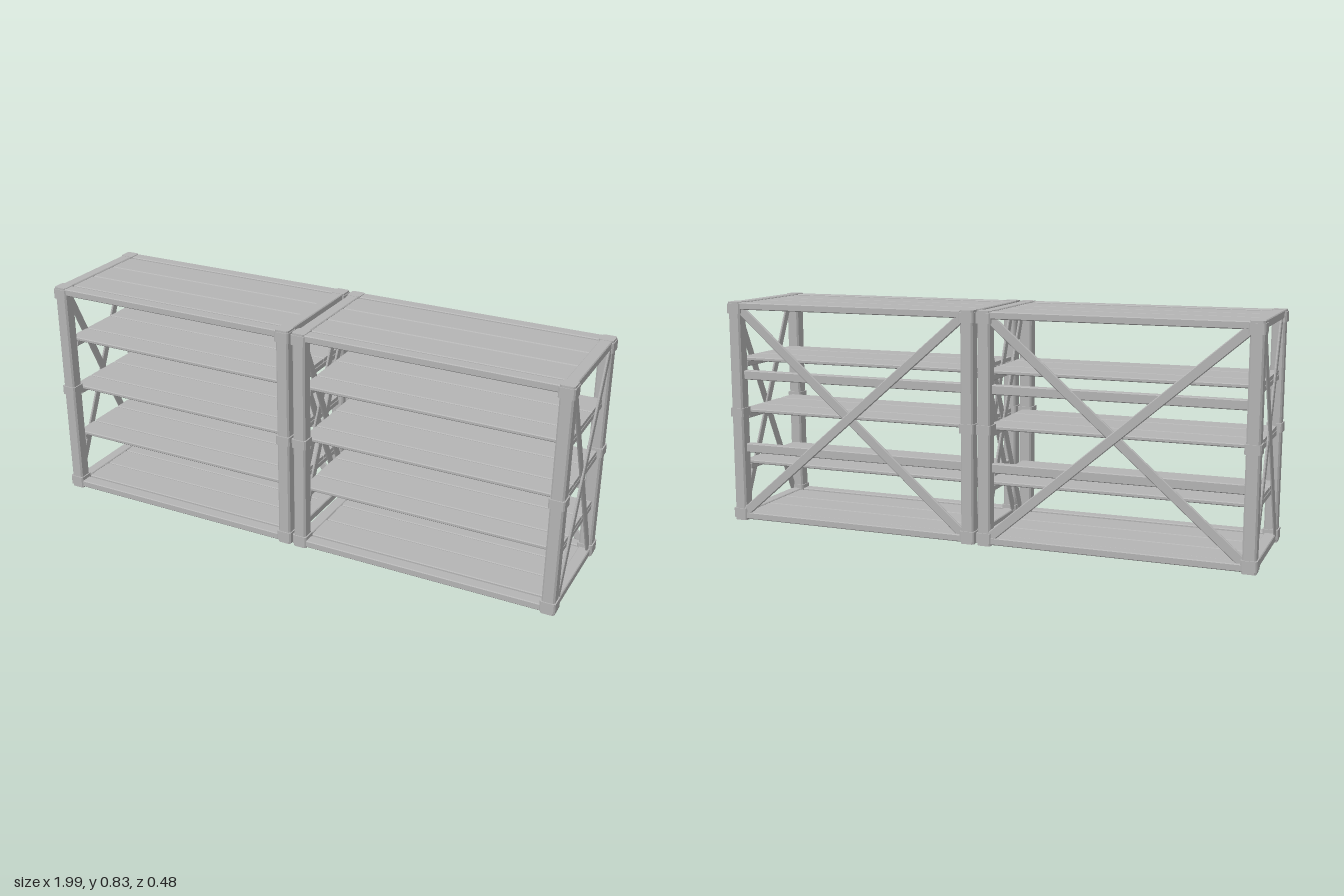
import * as THREE from 'three';

const steel = new THREE.MeshStandardMaterial({ color: 0xb4b4b4 });
steel.name = 'grey steel';

// Box with chamfered edges running along one axis
function bar(name, size, pos, axis = 'x', bevel = 0.003) {
  const [sx, sy, sz] = size;
  const [w, h, len] = axis === 'x' ? [sz, sy, sx] : axis === 'y' ? [sx, sz, sy] : [sx, sy, sz];
  const a = w / 2, b = h / 2, c = Math.min(bevel, a * 0.8, b * 0.8);
  const section = new THREE.Shape([
    [-a + c, -b], [a - c, -b], [a, -b + c], [a, b - c],
    [a - c, b], [-a + c, b], [-a, b - c], [-a, -b + c],
  ].map(([x, y]) => new THREE.Vector2(x, y)));
  const geo = new THREE.ExtrudeGeometry(section, { depth: len, bevelEnabled: false, steps: 1 });
  geo.translate(0, 0, -len / 2);
  if (axis === 'x') geo.rotateY(Math.PI / 2);
  if (axis === 'y') geo.rotateX(-Math.PI / 2);
  const mesh = new THREE.Mesh(geo, steel);
  mesh.name = name;
  mesh.position.set(...pos);
  return mesh;
}

// One shelf unit centred on x = 0
function createUnit() {
  const unit = new THREE.Group();
  const postX = 0.468, postZ = 0.211;

  // Corner posts with sleeves and end caps
  for (const sx of [-1, 1]) for (const sz of [-1, 1]) {
    const x = sx * postX, z = sz * postZ;
    unit.add(bar('post', [0.047, 0.822, 0.049], [x, 0.416, z], 'y', 0.006));
    for (const [y, h] of [[0.029, 0.036], [0.418, 0.033], [0.809, 0.036]])
      unit.add(bar('sleeve', [0.056, h, 0.058], [x, y, z], 'y', 0.005));
    for (const y of [0.006, 0.829])
      unit.add(bar('endCap', [0.05, 0.01, 0.052], [x, y, z], 'y', 0.006));
  }

  // Perimeter rails, top and bottom
  for (const y of [0.02, 0.819]) {
    for (const s of [-1, 1]) {
      unit.add(bar('longRail', [0.89, 0.026, 0.044], [0, y, s * 0.214]));
      unit.add(bar('endRail', [0.042, 0.028, 0.374], [s * postX, y, 0], 'z'));
    }
    // Boards on cross slats
    for (const z of [-0.1275, -0.0045, 0.1185])
      unit.add(bar('deckBoard', [0.895, 0.014, 0.119], [0, y + 0.003, z]));
    for (const x of [-0.3, 0, 0.3])
      unit.add(bar('deckSlat', [0.03, 0.01, 0.385], [x, y - 0.009, 0], 'z'));
  }

  // Middle shelves on end supports
  for (const y of [0.22, 0.418, 0.616]) {
    for (const [z0, z1] of [[-0.185, -0.067], [-0.062, 0.085], [0.09, 0.185]])
      unit.add(bar('shelfBoard', [0.952, 0.014, z1 - z0], [0, y, (z0 + z1) / 2]));
    for (const s of [-1, 1])
      unit.add(bar('shelfSupport', [0.03, 0.022, 0.37], [s * 0.462, y - 0.018, 0], 'z'));
  }

  // Horizontal back rails
  for (const y of [0.28, 0.559])
    unit.add(bar('backRail', [0.885, 0.034, 0.028], [0, y, -0.204]));

  // Crossed braces on the back and both ends
  const rise = 0.77, backRun = 0.89, endRun = 0.368;
  for (const d of [-1, 1]) {
    const back = bar('backBrace', [Math.hypot(backRun, rise) + 0.02, 0.035, 0.009], [0, 0.42, -0.2265 + d * 0.004]);
    back.rotation.z = d * Math.atan2(rise, backRun);
    unit.add(back);
    for (const s of [-1, 1]) {
      const end = bar('endBrace', [0.008, 0.032, Math.hypot(endRun, rise) + 0.01], [s * (0.482 + d * 0.003), 0.42, 0], 'z');
      end.rotation.x = d * Math.atan2(rise, endRun);
      unit.add(end);
    }
  }
  return unit;
}

export function createModel() {
  const model = new THREE.Group();
  model.name = 'shelving';
  for (const s of [-1, 1]) {
    const unit = createUnit();
    unit.name = s < 0 ? 'rightUnit' : 'leftUnit';
    unit.position.x = s * 0.5;
    model.add(unit);
  }
  return model;
}
